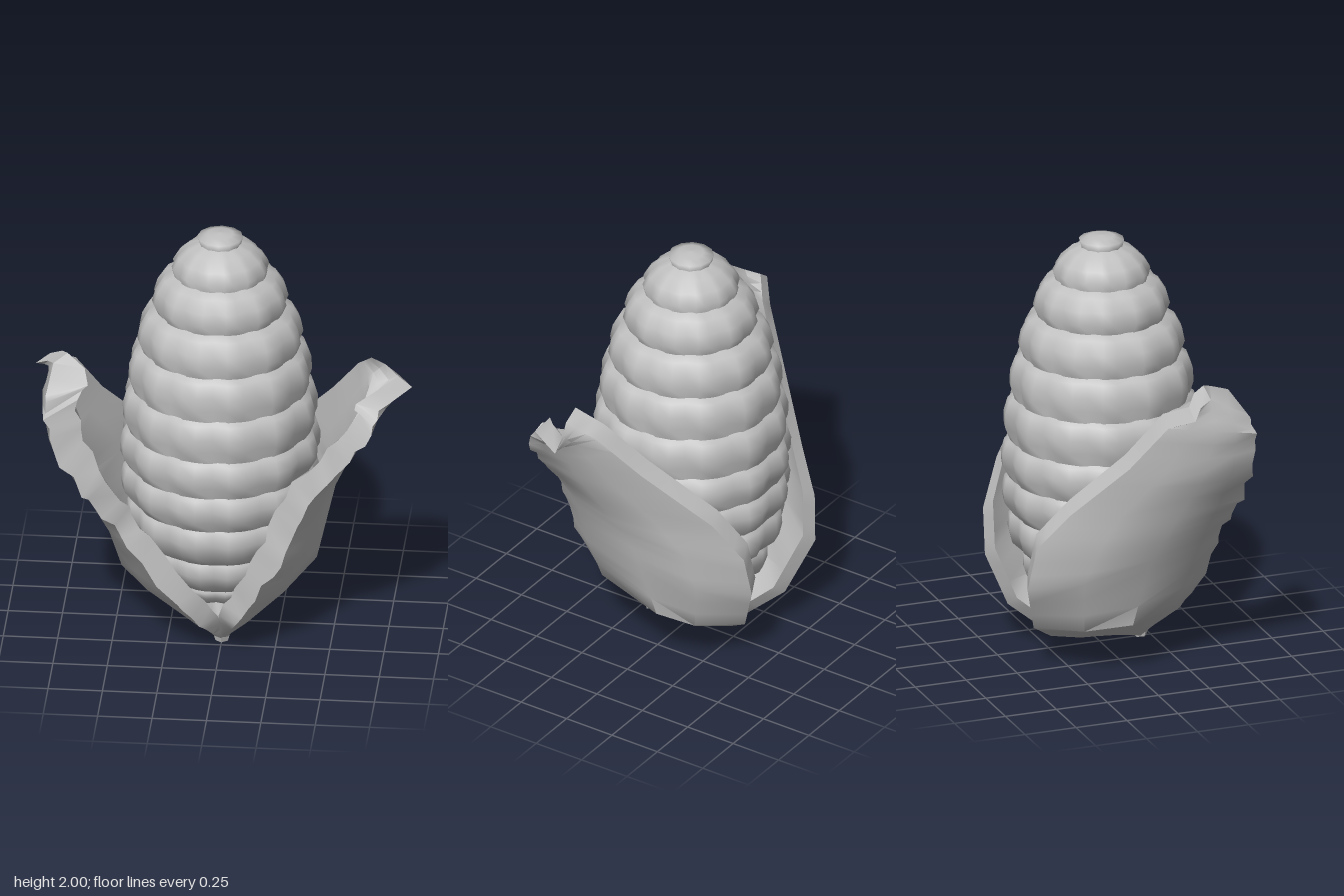
import * as THREE from 'three';
import { toCreasedNormals } from 'three/addons/utils/BufferGeometryUtils.js';

const grey = new THREE.MeshStandardMaterial({ color: 0xc0c0c0 });
grey.name = 'plain grey';

// Small seeded random in -1..1
let seed = 7;
const rnd = () => {
  seed = (seed * 16807) % 2147483647;
  return (seed / 2147483647) * 2 - 1;
};

// Skin a list of closed loops of [x, y, z]; the ends are closed only if asked
function loft(loops, flip, capped) {
  const n = loops[0].length, pos = loops.flat(2), idx = [];
  const tri = (a, b, c) => (flip ? idx.push(a, c, b) : idx.push(a, b, c));
  for (let r = 0; r < loops.length - 1; r++) {
    for (let i = 0; i < n; i++) {
      const j = (i + 1) % n, a = r * n + i, b = r * n + j;
      tri(a, b, a + n);
      tri(b, b + n, a + n);
    }
  }
  const top = (loops.length - 1) * n;
  for (let i = 0; capped && i < n / 2 - 1; i++) {
    const a = i, b = i + 1, c = n - 1 - i, d = n - 2 - i;
    tri(a, c, b);
    tri(b, c, d);
    tri(top + a, top + b, top + c);
    tri(top + b, top + d, top + c);
  }
  const g = new THREE.BufferGeometry();
  g.setAttribute('position', new THREE.Float32BufferAttribute(pos, 3));
  g.setIndex(idx);
  return g;
}

// One ring of twelve kernels: bulging low, notched between neighbours,
// with a sloping shoulder reaching in to the ring above
function kernelRing([y0, y1, top, bulge, bottom], shoulder) {
  const h = y0 - y1;
  const profile = [
    [bottom, y1 - 0.005, 0.02], [bulge, y1 + h * 0.3, 0.07],
    [(bulge + top) / 2 + 0.01, y1 + h * 0.62, 0.05],
    [top, y0 - 0.012, 0.05], [Math.min(shoulder, top) - 0.01, y0 + 0.012, 0.02],
  ];
  const loops = profile.map(([r, y, notch]) => {
    const loop = [];
    for (let i = 0; i < 36; i++) {
      const a = (i / 36) * Math.PI * 2;
      const f = i % 3 === 0 ? 1 - notch : 1;
      loop.push([Math.sin(a) * r * f, y, Math.cos(a) * r * f]);
    }
    return loop;
  });
  return toCreasedNormals(loft(loops, false, false), 1.2);
}

// Top y, bottom y, then top, bulge and bottom radius
const RINGS = [
  [1.94, 1.79, 0.148, 0.224, 0.212], [1.79, 1.61, 0.262, 0.314, 0.288],
  [1.61, 1.42, 0.338, 0.382, 0.358], [1.42, 1.22, 0.395, 0.422, 0.402],
  [1.22, 1.02, 0.43, 0.447, 0.422], [1.02, 0.84, 0.445, 0.458, 0.425],
  [0.84, 0.66, 0.445, 0.45, 0.405], [0.66, 0.46, 0.425, 0.415, 0.345],
  [0.46, 0.28, 0.36, 0.34, 0.26], [0.28, 0.16, 0.27, 0.22, 0.1],
];

// Husk cross-sections from base to tip, each running front edge, rib, back edge
const LEFT_HUSK = [
  [[0, 0.04, 0.24], [0.01, 0.02, 0.22], [0.01, 0, 0.2], [0.01, 0.01, 0.15], [0.02, 0.02, 0.08]],
  [[0.08, 0.17, 0.38], [0.12, 0.13, 0.27], [0.2, 0.14, 0.02], [0.13, 0.09, -0.15], [0.05, 0.09, -0.27]],
  [[0.17, 0.32, 0.41], [0.29, 0.3, 0.28], [0.41, 0.29, -0.1], [0.32, 0.23, -0.25], [0.13, 0.19, -0.4]],
  [[0.28, 0.52, 0.43], [0.38, 0.53, 0.3], [0.47, 0.56, -0.05], [0.38, 0.47, -0.3], [0.2, 0.42, -0.485]],
  [[0.36, 0.72, 0.43], [0.44, 0.71, 0.3], [0.505, 0.72, 0], [0.42, 0.66, -0.27], [0.25, 0.63, -0.475]],
  [[0.44, 0.87, 0.43], [0.5, 0.87, 0.3], [0.56, 0.86, 0.07], [0.49, 0.84, -0.15], [0.35, 0.83, -0.37]],
  [[0.6, 1.06, 0.43], [0.63, 1.07, 0.33], [0.66, 1.08, 0.18], [0.62, 1.08, 0.02], [0.55, 1.12, -0.11]],
  [[0.72, 1.2, 0.41], [0.73, 1.24, 0.31], [0.74, 1.28, 0.2], [0.73, 1.3, 0.13], [0.68, 1.33, 0.05]],
  [[0.73, 1.28, 0.36], [0.78, 1.3, 0.28], [0.87, 1.32, 0.15], [0.81, 1.38, 0.15], [0.75, 1.42, 0.17]],
];
const RIGHT_HUSK = [
  [[0, 0.03, 0.24], [-0.01, 0.02, 0.22], [-0.01, 0, 0.2], [-0.01, 0.02, 0.15], [-0.02, 0.03, 0.08]],
  [[-0.09, 0.15, 0.36], [-0.14, 0.12, 0.25], [-0.22, 0.11, 0.05], [-0.15, 0.09, -0.15], [-0.08, 0.09, -0.27]],
  [[-0.2, 0.28, 0.41], [-0.34, 0.27, 0.25], [-0.48, 0.25, -0.02], [-0.38, 0.21, -0.22], [-0.2, 0.19, -0.4]],
  [[-0.42, 0.58, 0.42], [-0.5, 0.56, 0.28], [-0.57, 0.55, 0.02], [-0.48, 0.48, -0.26], [-0.33, 0.43, -0.48]],
  [[-0.52, 0.73, 0.44], [-0.58, 0.71, 0.3], [-0.63, 0.7, 0.07], [-0.54, 0.66, -0.21], [-0.37, 0.64, -0.45]],
  [[-0.63, 0.86, 0.47], [-0.66, 0.85, 0.33], [-0.69, 0.86, 0.14], [-0.6, 0.83, -0.13], [-0.46, 0.82, -0.32]],
  [[-0.75, 1.08, 0.47], [-0.78, 1.08, 0.36], [-0.79, 1.08, 0.22], [-0.73, 1.08, 0.05], [-0.64, 1.08, -0.1]],
  [[-0.8, 1.24, 0.47], [-0.81, 1.26, 0.36], [-0.82, 1.28, 0.25], [-0.8, 1.3, 0.14], [-0.75, 1.3, 0.05]],
  [[-0.78, 1.33, 0.42], [-0.78, 1.38, 0.33], [-0.77, 1.42, 0.25], [-0.8, 1.4, 0.19], [-0.86, 1.36, 0.14]],
];

// Thick leaf: subdivide the sections, offset an inner skin, crumple the front edge;
// curl folds the front edge inwards towards the tip
function huskGeometry(rows, side, curl) {
  const loops = [];
  const STEPS = 3;
  for (let r = 0; r < rows.length - 1; r++) {
    const last = r === rows.length - 2;
    for (let k = 0; k < STEPS + (last ? 1 : 0); k++) {
      const t = k / STEPS, level = (r + t) / (rows.length - 1);
      const outer = rows[r].map((p, i) => p.map((v, c) => v + (rows[r + 1][i][c] - v) * t));
      const thick = Math.min(1, 0.25 + level * 5);
      const fold = curl * level ** 3;
      const inner = outer.map(([x, y, z], i) => [
        x - side * ((i === 0 ? 0.09 : 0.065) * thick + (i < 2 ? fold : 0)),
        y + 0.05 * thick,
        z * (1 - 0.05 * thick),
      ]);
      const rough = 0.016 * Math.min(1, level * 3);
      [outer[0], inner[0], inner[1]].forEach((p) => {
        p[0] += rnd() * rough;
        p[1] += rnd() * rough;
        p[2] += rnd() * rough * 0.6 - rough * 0.3;
      });
      loops.push([...outer, ...inner.reverse()]);
    }
  }
  return toCreasedNormals(loft(loops, side < 0, true), 0.8);
}

export function createModel() {
  const model = new THREE.Group();
  const add = (name, geometry, parent = model) => {
    const m = new THREE.Mesh(geometry, grey);
    m.name = name;
    parent.add(m);
    return m;
  };

  // Cob
  const cob = new THREE.Group();
  cob.name = 'cob';
  cob.position.set(-0.025, 0, 0);
  model.add(cob);
  RINGS.forEach((ring, i) => add('kernelRing', kernelRing(ring, i ? RINGS[i - 1][4] : 0.1), cob));
  const cap = [[0.095, 1.94], [0.105, 1.98], [0.06, 1.994], [0, 2]];
  add('cobTip', new THREE.LatheGeometry(cap.map(([x, y]) => new THREE.Vector2(x, y)), 12), cob);

  // Husk leaves and the stub where they meet
  add('leftHusk', huskGeometry(LEFT_HUSK, 1, 0));
  add('rightHusk', huskGeometry(RIGHT_HUSK, -1, 0.1));
  const stub = add('stemStub', toCreasedNormals(new THREE.CylinderGeometry(0.05, 0.03, 0.07, 5), 0.3));
  stub.position.set(0, 0.037, 0.2);
  return model;
}
